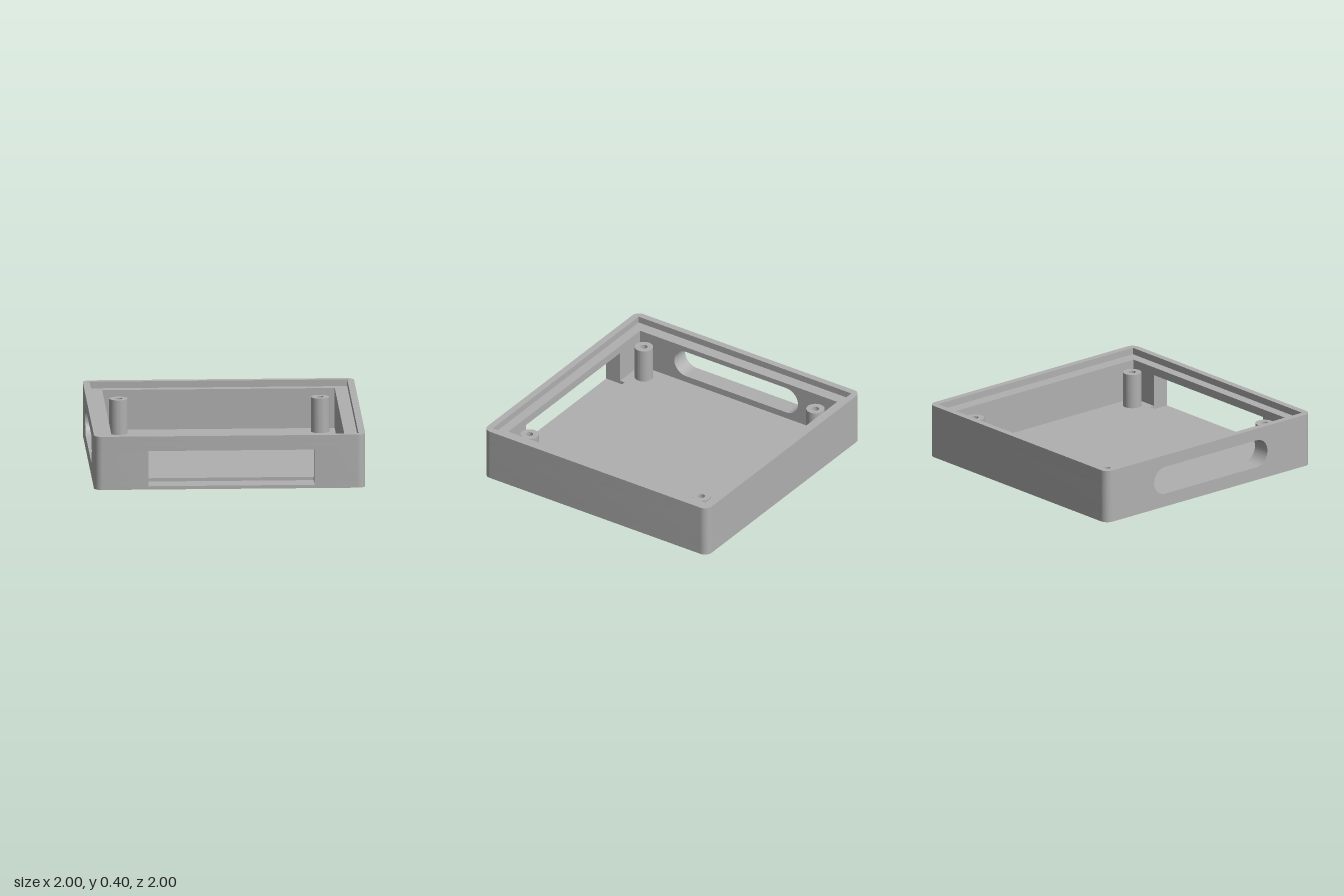
import * as THREE from 'three';
import { toCreasedNormals } from 'three/addons/utils/BufferGeometryUtils.js';

// Plan shapes are drawn in (x, -z), so the front wall lies at y = -1.
const R = 0.06;                                        // outer corner radius
const IN = { l: -0.86, r: 0.855, f: -0.875, b: 0.885 }; // cavity
const CUT = { l: -0.6, r: 0.625, back: -0.835 };        // front opening
const SIDE = 0.7;                                      // half length of the slotted panel
const Y = { base: 0.025, floor: 0.05, cutTop: 0.29, ledge: 0.35, top: 0.4, post: 0.31 };

// Rounded outer corners: 0 front right, 1 back right, 2 back left, 3 front left
function turn(shape, ...corners) {
  for (const k of corners) {
    const c = 1 - R;
    const x = k < 2 ? c : -c;
    const y = k === 1 || k === 2 ? c : -c;
    shape.absarc(x, y, R, (k - 1) * Math.PI / 2, k * Math.PI / 2, false);
  }
  return shape;
}

function lines(path, points) {
  points.forEach(([x, y]) => path.lineTo(x, y));
  return path;
}

function rectHole(l, r, f, b) {
  return lines(new THREE.Path().moveTo(l, f), [[l, b], [r, b], [r, f], [l, f]]);
}

export function createModel() {
  const group = new THREE.Group();
  const grey = new THREE.MeshStandardMaterial({ color: 0xb0b0b0 });
  grey.name = 'grey plastic';

  function add(name, geometry) {
    const mesh = new THREE.Mesh(toCreasedNormals(geometry, 0.5), grey);
    mesh.name = name;
    group.add(mesh);
    return mesh;
  }

  // Raise a plan shape from y0 to y1
  function slab(name, shape, y0, y1, curveSegments = 8) {
    const g = new THREE.ExtrudeGeometry(shape, { depth: y1 - y0, bevelEnabled: false, curveSegments });
    g.rotateX(-Math.PI / 2).translate(0, y0, 0);
    return add(name, g);
  }

  // Bottom plate
  slab('bottomPlate', turn(new THREE.Shape(), 0, 1, 2, 3), 0, Y.base);

  // Floor, notched where the front opening cuts into it
  const floor = turn(new THREE.Shape(), 0, 1, 2, 3);
  lines(floor, [[CUT.l, -1], [CUT.l, CUT.back], [CUT.r, CUT.back], [CUT.r, -1]]);
  slab('floor', floor, Y.base, Y.floor);

  // Walls beside the front opening
  const mainWall = new THREE.Shape();
  mainWall.moveTo(CUT.r, IN.f);
  mainWall.lineTo(CUT.r, -1);
  turn(mainWall, 0, 1, 2);
  lines(mainWall, [[-1, SIDE], [IN.l, SIDE], [IN.l, IN.b], [IN.r, IN.b], [IN.r, IN.f]]);
  slab('mainWall', mainWall, Y.floor, Y.cutTop);

  const cornerWall = new THREE.Shape();
  cornerWall.moveTo(IN.l, -SIDE);
  cornerWall.lineTo(-1, -SIDE);
  turn(cornerWall, 3);
  lines(cornerWall, [[CUT.l, -1], [CUT.l, IN.f], [IN.l, IN.f]]);
  slab('cornerWall', cornerWall, Y.floor, Y.cutTop);

  // Wall band above the front opening
  const upperWall = new THREE.Shape();
  upperWall.moveTo(IN.l, -SIDE);
  upperWall.lineTo(-1, -SIDE);
  turn(upperWall, 3, 0, 1, 2);
  lines(upperWall, [[-1, SIDE], [IN.l, SIDE], [IN.l, IN.b], [IN.r, IN.b], [IN.r, IN.f], [IN.l, IN.f]]);
  slab('upperWall', upperWall, Y.cutTop, Y.ledge);

  // Side panel with a round-ended slot, drawn in (-z, y)
  const panel = new THREE.Shape();
  panel.moveTo(-SIDE, Y.floor);
  lines(panel, [[SIDE, Y.floor], [SIDE, Y.ledge], [-SIDE, Y.ledge]]);
  const slot = new THREE.Path();
  const r = 0.105, cy = 0.205;
  slot.absarc(0.535 - r, cy, r, -Math.PI / 2, Math.PI / 2, false);
  slot.absarc(-0.57 + r, cy, r, Math.PI / 2, Math.PI * 1.5, false);
  panel.holes.push(slot);
  const panelGeo = new THREE.ExtrudeGeometry(panel, { depth: 1 + IN.l, bevelEnabled: false, curveSegments: 24 });
  panelGeo.rotateY(Math.PI / 2).translate(-1, 0, 0);
  add('slottedSidePanel', panelGeo);

  // Thin rim around the lid recess
  const rim = turn(new THREE.Shape(), 0, 1, 2, 3);
  rim.holes.push(rectHole(-0.95, 0.95, -0.95, 0.95));
  slab('rim', rim, Y.ledge, Y.top);

  // Four hollow screw posts
  for (const x of [-0.745, 0.742]) {
    for (const z of [-0.77, 0.763]) {
      const ring = new THREE.Shape().absarc(0, 0, 0.068, 0, Math.PI * 2, false);
      ring.holes.push(new THREE.Path().absarc(0, 0, 0.027, 0, Math.PI * 2, true));
      slab('screwPost', ring, Y.floor, Y.post, 32).position.set(x, 0, z);
    }
  }

  return group;
}
